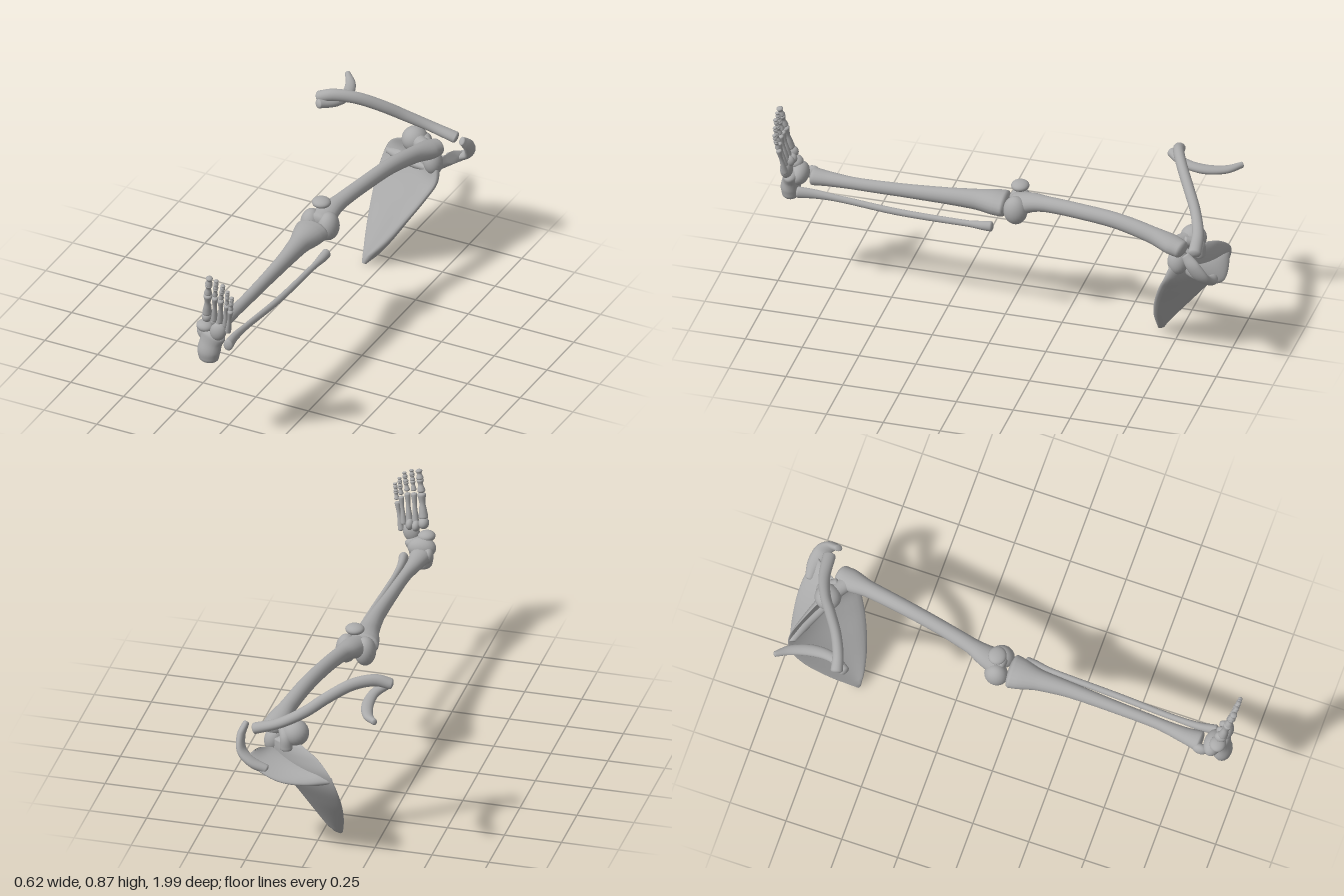
import * as THREE from 'three';

const V = (a) => new THREE.Vector3(a[0], a[1], a[2]);
const Y = [0, 1, 0], Z = [0, 0, 1];

// Skin closed rings of points, each running counter-clockwise about the direction of travel
function loft(rings) {
  const n = rings[0].length, pos = [], idx = [];
  rings.forEach((r) => r.forEach((p) => pos.push(p.x, p.y, p.z)));
  for (let i = 0; i < rings.length - 1; i++) {
    for (let j = 0; j < n; j++) {
      const k = (j + 1) % n;
      const a = i * n + j, b = i * n + k, c = a + n, d = b + n;
      idx.push(a, b, d, a, d, c);
    }
  }
  const g = new THREE.BufferGeometry();
  g.setAttribute('position', new THREE.Float32BufferAttribute(pos, 3));
  g.setIndex(idx);
  g.computeVertexNormals();
  return g;
}

// Rounded rod through rows of [x, y, z, half width, half depth]
function rod(rows, ref = Y, cap = 0.5, n = 20) {
  const path = new THREE.CatmullRomCurve3(rows.map(V), false, 'centripetal');
  const size = new THREE.CatmullRomCurve3(rows.map((r) => new THREE.Vector3(r[3], r[4] ?? r[3], 0)), false, 'centripetal');
  const steps = (rows.length - 1) * 6, rings = [];
  const ring = (t, scale, shift) => {
    const p = path.getPoint(t), dir = path.getTangent(t), s = size.getPoint(t);
    const side = V(ref).cross(dir).normalize(), v = dir.clone().cross(side);
    p.addScaledVector(dir, shift * cap * Math.min(s.x, s.y));
    const out = [];
    for (let j = 0; j < n; j++) {
      const a = (j / n) * Math.PI * 2;
      out.push(p.clone().addScaledVector(side, Math.cos(a) * s.x * scale).addScaledVector(v, Math.sin(a) * s.y * scale));
    }
    rings.push(out);
  };
  for (let k = 0; k < 5; k++) ring(0, Math.sin(k * Math.PI / 10), -Math.cos(k * Math.PI / 10));
  for (let i = 0; i <= steps; i++) ring(i / steps, 1, 0);
  for (let k = 4; k >= 0; k--) ring(1, Math.sin(k * Math.PI / 10), Math.cos(k * Math.PI / 10));
  return loft(rings);
}

// Bowed plate between two edges; thick(s) is its half thickness from the first edge to the second
function plate(edgeA, edgeB, travel, thick, bow, n = 32) {
  const A = new THREE.CatmullRomCurve3(edgeA.map(V)), B = new THREE.CatmullRomCurve3(edgeB.map(V));
  const steps = (edgeA.length - 1) * 6, rings = [];
  for (let i = 0; i <= steps; i++) {
    const a = A.getPoint(i / steps), b = B.getPoint(i / steps);
    const u = b.clone().sub(a), w = u.length();
    const v = V(travel).cross(u).normalize(), out = [];
    for (let j = 0; j < n; j++) {
      const q = (j / n) * Math.PI * 2, s = 0.5 + 0.5 * Math.cos(q);
      const h = bow * w * Math.sin(Math.PI * s) + Math.min(thick(s), w * 0.4) * Math.sin(q);
      out.push(a.clone().addScaledVector(u, s).addScaledVector(v, h));
    }
    rings.push(out);
  }
  const closed = (r) => {
    const c = r.reduce((m, p) => m.add(p), new THREE.Vector3()).divideScalar(n);
    return r.map(() => c.clone());
  };
  return loft([closed(rings[0]), ...rings, closed(rings[rings.length - 1])]);
}

export function createModel() {
  const model = new THREE.Group();
  model.name = 'limbSkeleton';
  const bone = new THREE.MeshStandardMaterial({ color: 0xaaaaaa });
  bone.name = 'bone grey';

  const group = (name) => {
    const g = new THREE.Group();
    g.name = name;
    model.add(g);
    return g;
  };
  const add = (parent, name, geo) => {
    const m = new THREE.Mesh(geo, bone);
    m.name = name;
    parent.add(m);
    return m;
  };
  const blob = (parent, name, p, r, tilt = 0) => {
    const m = add(parent, name, new THREE.SphereGeometry(1, 24, 16));
    m.position.set(...p);
    m.scale.set(...r);
    m.rotation.z = tilt;
  };

  // Shoulder blade with its ridge and hooked tip
  const blade = group('shoulderBlade');
  add(blade, 'bladePlate', plate(
    [[-0.085, 0.003, -0.66], [-0.122, 0.13, -0.78], [-0.143, 0.26, -0.89], [-0.137, 0.36, -0.95], [-0.11, 0.43, -0.96], [-0.05, 0.485, -0.93], [0.03, 0.52, -0.89]],
    [[-0.065, 0.003, -0.655], [0.035, 0.13, -0.665], [0.108, 0.24, -0.69], [0.178, 0.35, -0.73], [0.215, 0.425, -0.765], [0.205, 0.49, -0.79], [0.18, 0.53, -0.81]],
    [0, 0.91, -0.4], (s) => 0.012 + 0.032 * s * s * s, 0.07));
  add(blade, 'bladeRidge', plate(
    [[-0.11, 0.4, -0.93], [-0.02, 0.41, -0.89], [0.08, 0.43, -0.84], [0.15, 0.45, -0.82], [0.2, 0.48, -0.89]],
    [[-0.12, 0.4, -0.955], [0, 0.385, -0.982], [0.11, 0.395, -0.995], [0.2, 0.43, -0.985], [0.26, 0.46, -0.965]],
    [1, 0, 0], (s) => 0.035 - 0.015 * s, 0));
  add(blade, 'bladeHook', rod([
    [0.17, 0.43, -0.965, 0.02, 0.02], [0.23, 0.455, -0.965, 0.02, 0.03], [0.28, 0.495, -0.945, 0.018, 0.034],
    [0.292, 0.55, -0.91, 0.018, 0.03], [0.28, 0.59, -0.875, 0.014, 0.02]], Z));
  blob(blade, 'shoulderSocket', [0.175, 0.495, -0.81], [0.042, 0.058, 0.045], 0.2);
  add(blade, 'frontHook', rod([[0.1, 0.5, -0.88, 0.03], [0.105, 0.55, -0.88, 0.026], [0.135, 0.575, -0.83, 0.02]], [1, 0, 0]));

  // Collarbone and the short curved bone at its inner end
  add(model, 'collarbone', rod([
    [-0.3, 0.758, -0.68, 0.026, 0.024], [-0.24, 0.774, -0.695, 0.024, 0.027], [-0.15, 0.762, -0.735, 0.023, 0.027],
    [-0.05, 0.713, -0.795, 0.023, 0.026], [0.03, 0.662, -0.845, 0.023, 0.025], [0.13, 0.615, -0.885, 0.025, 0.022],
    [0.235, 0.583, -0.9, 0.028, 0.024]]));
  add(model, 'curvedRib', rod([
    [-0.303, 0.718, -0.955, 0.012, 0.014], [-0.262, 0.71, -0.9, 0.022, 0.016], [-0.234, 0.712, -0.81, 0.026, 0.019],
    [-0.24, 0.725, -0.72, 0.023, 0.019], [-0.285, 0.742, -0.65, 0.022, 0.02]]));

  // Upper limb bone with its head and rounded knuckles
  const upper = group('upperBone');
  add(upper, 'upperShaft', rod([
    [0.022, 0.565, -0.06, 0.062, 0.05], [0.03, 0.588, -0.13, 0.048, 0.04], [0.047, 0.6, -0.2, 0.035, 0.034],
    [0.08, 0.61, -0.35, 0.032, 0.034], [0.115, 0.61, -0.53, 0.033, 0.035], [0.148, 0.588, -0.69, 0.036, 0.037],
    [0.168, 0.568, -0.78, 0.05, 0.04], [0.183, 0.56, -0.825, 0.042, 0.037]]));
  add(upper, 'upperNeck', rod([[0.17, 0.565, -0.78, 0.035], [0.12, 0.562, -0.815, 0.034], [0.075, 0.56, -0.845, 0.036]]));
  blob(upper, 'upperHead', [0.07, 0.558, -0.848], [0.057, 0.057, 0.057]);
  for (const [x, y] of [[-0.022, 0.552], [0.06, 0.556]]) blob(upper, 'knuckle', [x, y, -0.062], [0.046, 0.064, 0.052]);
  blob(model, 'kneeCap', [0.021, 0.658, -0.072], [0.041, 0.022, 0.039]);

  // Lower limb bones
  add(model, 'shinBone', rod([
    [0.012, 0.552, 0.0, 0.076, 0.05], [0.012, 0.552, 0.04, 0.068, 0.051], [0.012, 0.552, 0.12, 0.046, 0.044],
    [0.014, 0.549, 0.25, 0.034, 0.037], [0.008, 0.54, 0.45, 0.027, 0.03], [0, 0.533, 0.65, 0.025, 0.027],
    [-0.012, 0.53, 0.78, 0.035, 0.031], [-0.016, 0.53, 0.845, 0.046, 0.036]], Y, 0.4));
  blob(model, 'innerAnkle', [-0.048, 0.53, 0.86], [0.022, 0.03, 0.035]);
  add(model, 'calfBone', rod([
    [0.098, 0.482, 0.035, 0.02, 0.023], [0.097, 0.48, 0.07, 0.019, 0.02], [0.092, 0.476, 0.15, 0.013, 0.014],
    [0.08, 0.474, 0.45, 0.014, 0.015], [0.063, 0.485, 0.7, 0.013, 0.015], [0.06, 0.49, 0.82, 0.017, 0.021],
    [0.068, 0.492, 0.89, 0.021, 0.026]]));

  // Foot: heel and ankle bones
  const foot = group('foot');
  add(foot, 'heelBone', rod([
    [0.002, 0.447, 0.943, 0.045, 0.038], [0.003, 0.48, 0.942, 0.051, 0.043], [0.01, 0.52, 0.937, 0.05, 0.038],
    [0.02, 0.555, 0.935, 0.056, 0.034]], Z, 0.65));
  blob(foot, 'ankleBone', [-0.008, 0.542, 0.905], [0.062, 0.046, 0.04], -0.1);
  blob(foot, 'innerFootBone', [-0.022, 0.587, 0.93], [0.038, 0.024, 0.035], -0.1);
  blob(foot, 'outerFootBone', [0.05, 0.588, 0.948], [0.036, 0.046, 0.027], -0.35);
  blob(foot, 'wedgeBone', [-0.007, 0.643, 0.938], [0.023, 0.026, 0.027]);
  blob(foot, 'wedgeBone', [0.025, 0.628, 0.932], [0.018, 0.024, 0.024]);
  blob(foot, 'wedgeBone', [0.053, 0.63, 0.935], [0.018, 0.025, 0.024]);

  // Toes: [base x, y], [knuckle x, y], [tip x, y], radius, share of the toe taken by each joint
  const long = [0, 0.48, 0.75, 1];
  const toes = [
    [[-0.003, 0.668], [0.011, 0.775], [0.027, 0.868], 0.0145, [0, 0.58, 1]],
    [[0.03, 0.64], [0.045, 0.775], [0.06, 0.863], 0.0105, long],
    [[0.058, 0.64], [0.074, 0.77], [0.091, 0.847], 0.0105, long],
    [[0.083, 0.628], [0.101, 0.75], [0.111, 0.82], 0.0095, long],
    [[0.093, 0.598], [0.118, 0.725], [0.13, 0.793], 0.0095, long],
  ];
  toes.forEach(([base, knuckle, tip, r, joints], i) => {
    const toe = new THREE.Group();
    toe.name = 'toe' + (i + 1);
    foot.add(toe);
    const at = (p, q, t) => {
      const y = p[1] + (q[1] - p[1]) * t;
      return [p[0] + (q[0] - p[0]) * t, y, 0.942 + (y - 0.64) * 0.19 + i * 0.002];
    };
    const segment = (name, p, q, from, to, w) => add(toe, name, rod([
      [...at(p, q, from), w * 1.2], [...at(p, q, from + (to - from) * 0.25), w], [...at(p, q, from + (to - from) * 0.55), w * 0.75],
      [...at(p, q, from + (to - from) * 0.88), w * 1.1]], Z, 0.6, 14));
    segment('footRay', base, knuckle, 0, 1, r * 1.2);
    for (let k = 0; k < joints.length - 1; k++) {
      segment('toeJoint', knuckle, tip, joints[k] + 0.06, joints[k + 1], r * (1 - 0.06 * k));
    }
  });
  return model;
}
